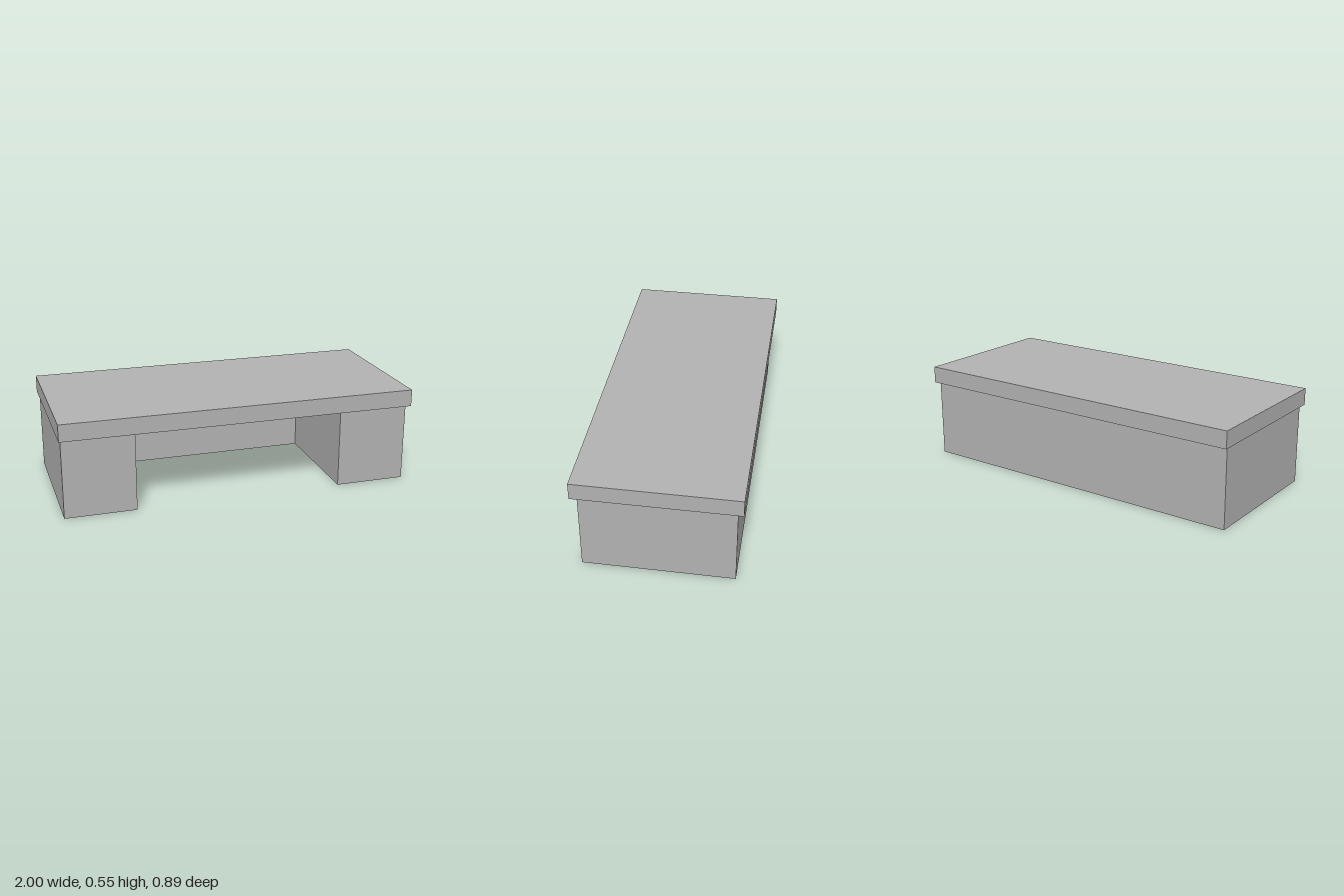
import * as THREE from 'three';
import { mergeGeometries } from 'three/addons/utils/BufferGeometryUtils.js';

const BASE_Y = 0.45, TOP_Y = 0.546;

// Vertical wall panels along a closed [x, z] outline, facing outward
function walls(outline, y0, y1) {
  return mergeGeometries(outline.map(([x0, z0], i) => {
    const [x1, z1] = outline[(i + 1) % outline.length];
    const panel = new THREE.PlaneGeometry(Math.hypot(x1 - x0, z1 - z0), y1 - y0);
    panel.rotateY(Math.atan2(z0 - z1, x1 - x0));
    return panel.translate((x0 + x1) / 2, (y0 + y1) / 2, (z0 + z1) / 2);
  }));
}

const rectangle = (x0, x1, z0, z1) => [[x0, z1], [x1, z1], [x1, z0], [x0, z0]];
const toPoints = (outline) => outline.map(([x, z]) => new THREE.Vector2(x, z));

export function createModel() {
  const group = new THREE.Group();
  const grey = new THREE.MeshStandardMaterial({ color: 0xb2b2b2, side: THREE.DoubleSide });
  grey.name = 'grey';
  const add = (name, geometry) => {
    const mesh = new THREE.Mesh(geometry, grey);
    mesh.name = name;
    group.add(mesh);
  };

  const slab = rectangle(-1, 1, -0.443, 0.443);
  const footprint = rectangle(-0.988, 0.985, -0.413, 0.405);

  // Hollow U-shaped base: two pedestals joined by a thick back, open underneath
  add('pedestalBase', walls([
    [-0.988, 0.405], [-0.59, 0.405], [-0.59, -0.281], [0.585, -0.281],
    [0.585, 0.405], [0.985, 0.405], [0.985, -0.413], [-0.988, -0.413],
  ], 0, BASE_Y));

  // Desktop: upper surface and rim
  add('desktopSurface', new THREE.PlaneGeometry(2, 0.886).rotateX(-Math.PI / 2).translate(0, TOP_Y, 0));
  add('desktopRim', walls(slab, BASE_Y, TOP_Y));

  // Underside of the overhang, open inside the base footprint
  const ring = new THREE.Shape(toPoints(slab));
  ring.holes.push(new THREE.Path(toPoints(footprint)));
  add('overhangUnderside', new THREE.ShapeGeometry(ring).rotateX(Math.PI / 2).translate(0, BASE_Y, 0));

  return group;
}
